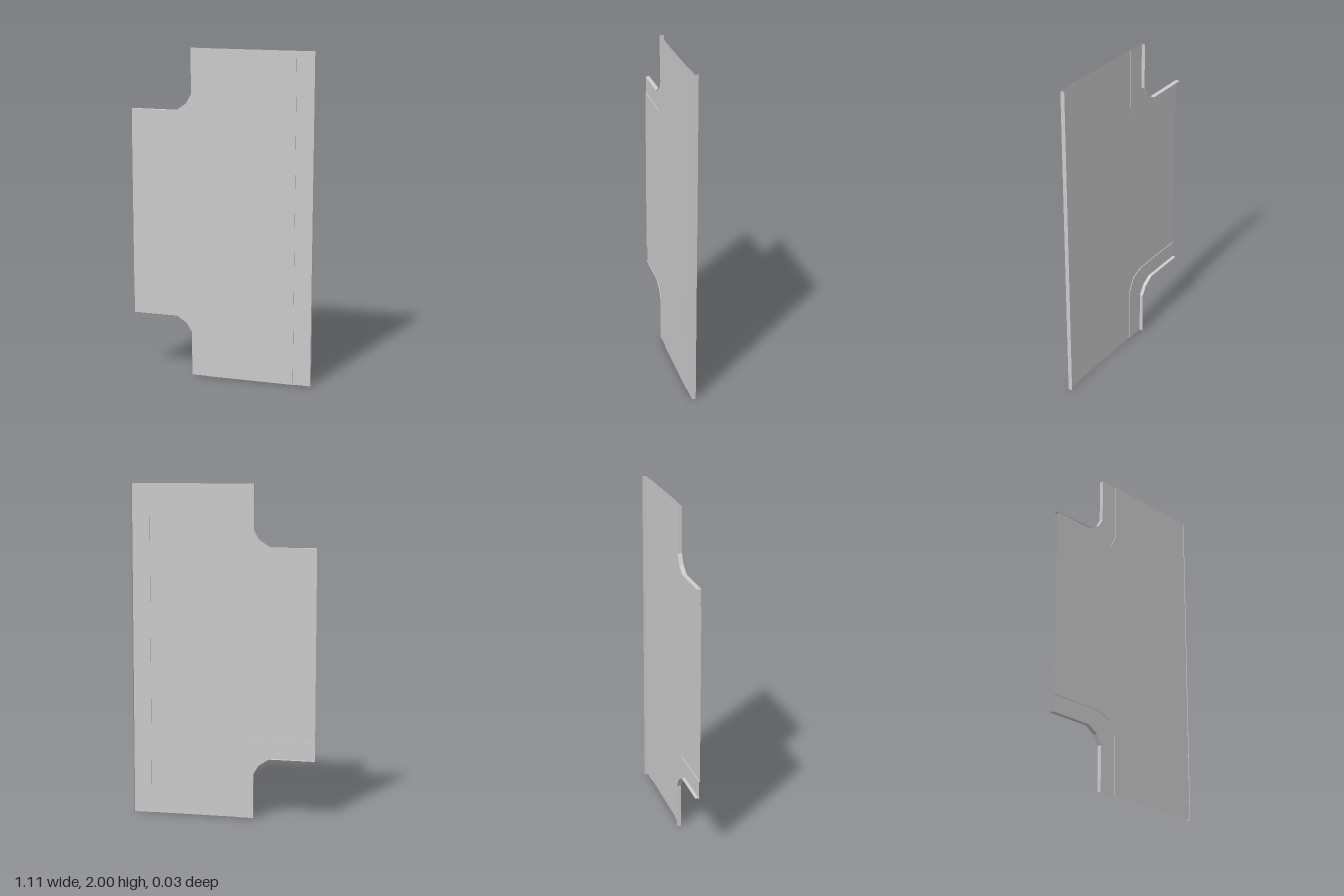
import * as THREE from 'three';

const material = new THREE.MeshStandardMaterial({ color: 0xcccccc, flatShading: true, side: THREE.DoubleSide });

// Depth levels: road at the front, pavement stepped back, parapet rim furthest back
const ROAD = 0.013, PAVEMENT = 0.0085, RIM = -0.013;

// Plan outlines of the upper corner, from the branch end round to the top end
const cornerOuter = [[-0.555, 1.63], [-0.28, 1.63], [-0.22, 1.67], [-0.186, 1.727], [-0.186, 2]];
const cornerInner = [[-0.555, 1.525], [-0.207, 1.525], [-0.12, 1.557], [-0.077, 1.64], [-0.077, 2]];
const sideOuter = [[0.555, 0], [0.555, 2]];
const sideInner = [[0.448, 0], [0.448, 2]];
const flip = (points) => points.map(([x, y]) => [x, 2 - y]);

// Open strip joining two polylines, each at its own depth
function strip(name, a, za, b, zb) {
  const positions = [], index = [];
  a.forEach(([x, y], i) => {
    positions.push(x, y, za, b[i][0], b[i][1], zb);
    if (i > 0) {
      const k = 2 * i;
      index.push(k - 2, k - 1, k, k, k - 1, k + 1);
    }
  });
  const geometry = new THREE.BufferGeometry();
  geometry.setAttribute('position', new THREE.Float32BufferAttribute(positions, 3));
  geometry.setIndex(index);
  geometry.computeVertexNormals();
  const mesh = new THREE.Mesh(geometry, material);
  mesh.name = name;
  return mesh;
}

// Pavement with its kerb step and outer parapet
function edging(name, outer, inner) {
  const group = new THREE.Group();
  group.name = name;
  group.add(
    strip('parapet', outer, ROAD, outer, RIM),
    strip('pavement', outer, PAVEMENT, inner, PAVEMENT),
    strip('kerb', inner, PAVEMENT, inner, ROAD)
  );
  return group;
}

export function createModel() {
  const model = new THREE.Group();
  model.name = 'roadJunction';

  // Road surface between the kerbs
  const outline = [...sideInner, ...[...cornerInner].reverse(), ...flip(cornerInner)];
  const shape = new THREE.Shape(outline.map(([x, y]) => new THREE.Vector2(x, y)));
  const road = new THREE.Mesh(new THREE.ShapeGeometry(shape), material);
  road.name = 'road';
  road.position.z = ROAD;
  model.add(road);

  // Edgings: two mirrored corners and the straight side
  model.add(
    edging('upperCorner', cornerOuter, cornerInner),
    edging('lowerCorner', flip(cornerOuter), flip(cornerInner)),
    edging('straightSide', sideOuter, sideInner)
  );
  return model;
}
